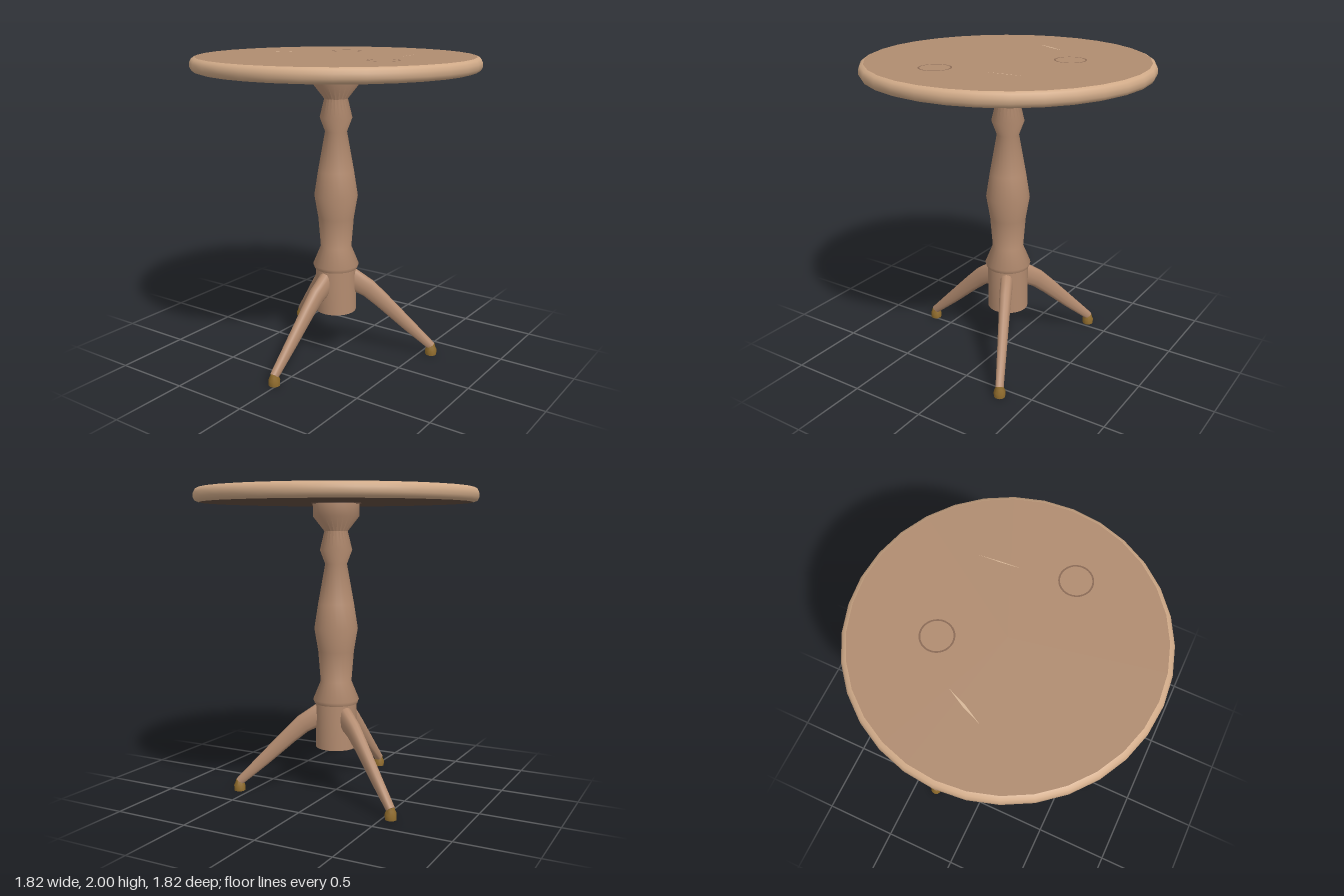
import * as THREE from 'three';
import { toCreasedNormals } from 'three/addons/utils/BufferGeometryUtils.js';

const mat = (name, color, side = THREE.FrontSide) => {
  const m = new THREE.MeshStandardMaterial({ color, side });
  m.name = name;
  return m;
};

const lathe = (pts, segments, crease = 0.9) => toCreasedNormals(
  new THREE.LatheGeometry(pts.map(([r, y]) => new THREE.Vector2(r, y)), segments), crease);

// Tapered leg in the y-z plane: each station has an upper edge, a lower edge and a width
function legGeometry() {
  const stations = [ // z top, y top, z bottom, y bottom, width
    [0.07, 0.605, 0.05, 0.46, 0.085],
    [0.137, 0.59, 0.12, 0.435, 0.085],
    [0.254, 0.51, 0.185, 0.405, 0.08],
    [0.35, 0.415, 0.275, 0.335, 0.072],
    [0.51, 0.248, 0.45, 0.185, 0.062],
    [0.67, 0.08, 0.628, 0.042, 0.052],
  ];
  const sides = 12, pos = [], idx = [];
  const soft = v => Math.sign(v) * Math.abs(v) ** 0.75;
  for (const [zt, yt, zb, yb, w] of stations) {
    for (let i = 0; i < sides; i++) {
      const a = (i / sides) * Math.PI * 2;
      const u = soft(Math.cos(a)), v = soft(Math.sin(a));
      pos.push(u * w / 2, (yt + yb) / 2 + v * (yt - yb) / 2, (zt + zb) / 2 + v * (zt - zb) / 2);
    }
  }
  const last = stations.length - 1;
  for (let s = 0; s < last; s++) {
    for (let i = 0; i < sides; i++) {
      const a = s * sides + i, b = s * sides + (i + 1) % sides;
      idx.push(a, b, b + sides, a, b + sides, a + sides);
    }
  }
  for (let i = 1; i < sides - 1; i++) {
    idx.push(0, i + 1, i);
    idx.push(last * sides, last * sides + i, last * sides + i + 1);
  }
  const g = new THREE.BufferGeometry();
  g.setAttribute('position', new THREE.Float32BufferAttribute(pos, 3));
  g.setIndex(idx);
  return toCreasedNormals(g, 0.9);
}

export function createModel() {
  const wood = mat('wood', 0xb48c70);
  const topWood = mat('top wood', 0xb08c70);
  const rimWood = mat('light rim wood', 0xd0aa88);
  const underWood = mat('dark underside wood', 0x644d40);
  const stain = mat('ring stain', 0x8a6a55);
  const scratchMat = mat('scratch', 0xd8b898, THREE.DoubleSide);
  const brass = mat('brass', 0x8f6b2c);

  const model = new THREE.Group();
  const add = (name, geo, material, parent = model) => {
    const mesh = new THREE.Mesh(geo, material);
    mesh.name = name;
    parent.add(mesh);
    return mesh;
  };

  // Round top: rim, upper face and underside
  add('tableRim', lathe([[0.87, 1.91], [0.897, 1.92], [0.908, 1.94], [0.908, 1.968],
    [0.897, 1.99], [0.876, 2]], 32), rimWood);
  add('tableTop', new THREE.CircleGeometry(0.876, 32).rotateX(-Math.PI / 2).translate(0, 2, 0), topWood);
  add('tableUnderside', new THREE.CircleGeometry(0.87, 32).rotateX(Math.PI / 2).translate(0, 1.91, 0), underWood);
  add('mountingPlate', new THREE.CylinderGeometry(0.162, 0.162, 0.006, 24).translate(0, 1.908, 0), underWood);

  // Turned column
  add('columnBase', lathe([[0, 0.305], [0.135, 0.305], [0.135, 0.61]], 24), wood);
  add('columnShaft', lathe([[0.13, 0.6], [0.142, 0.602], [0.152, 0.628], [0.102, 0.75], [0.118, 0.95],
    [0.143, 1.1], [0.118, 1.26], [0.071, 1.52], [0.105, 1.61], [0.076, 1.73],
    [0.15, 1.825], [0.15, 1.91]], 24), wood);

  // Three splayed legs with brass feet
  const legGeo = legGeometry();
  const footGeo = lathe([[0, 0], [0.037, 0], [0.038, 0.035], [0.028, 0.058], [0.024, 0.075], [0, 0.075]], 10);
  for (let i = 0; i < 3; i++) {
    const leg = new THREE.Group();
    leg.name = 'leg' + (i + 1);
    leg.rotation.y = -0.031 + i * Math.PI * 2 / 3;
    add('legShaft', legGeo, wood, leg);
    add('foot', footGeo, brass, leg).position.z = 0.65;
    model.add(leg);
  }

  // Cup rings on the upper face
  for (const [x, z] of [[-0.155, -0.35], [0.47, 0.2]]) {
    const ring = add('cupRing', new THREE.RingGeometry(0.09, 0.1, 32), stain);
    ring.rotation.x = -Math.PI / 2;
    ring.position.set(x, 2.002, z);
  }

  // Thin lens-shaped scratches
  for (const [x1, z1, x2, z2, w] of [[-0.51, 0.075, -0.4, -0.155, 0.016], [0.39, -0.36, 0.413, -0.1, 0.006]]) {
    const dx = x2 - x1, dz = z2 - z1, len = Math.hypot(dx, dz);
    const shape = new THREE.Shape([[-len / 2, 0], [0, -w / 2], [len / 2, 0], [0, w / 2]]
      .map(p => new THREE.Vector2(...p)));
    const geo = new THREE.ShapeGeometry(shape).rotateX(-Math.PI / 2).rotateY(Math.atan2(-dz, dx));
    add('scratch', geo, scratchMat).position.set((x1 + x2) / 2, 2.002, (z1 + z2) / 2);
  }
  return model;
}
